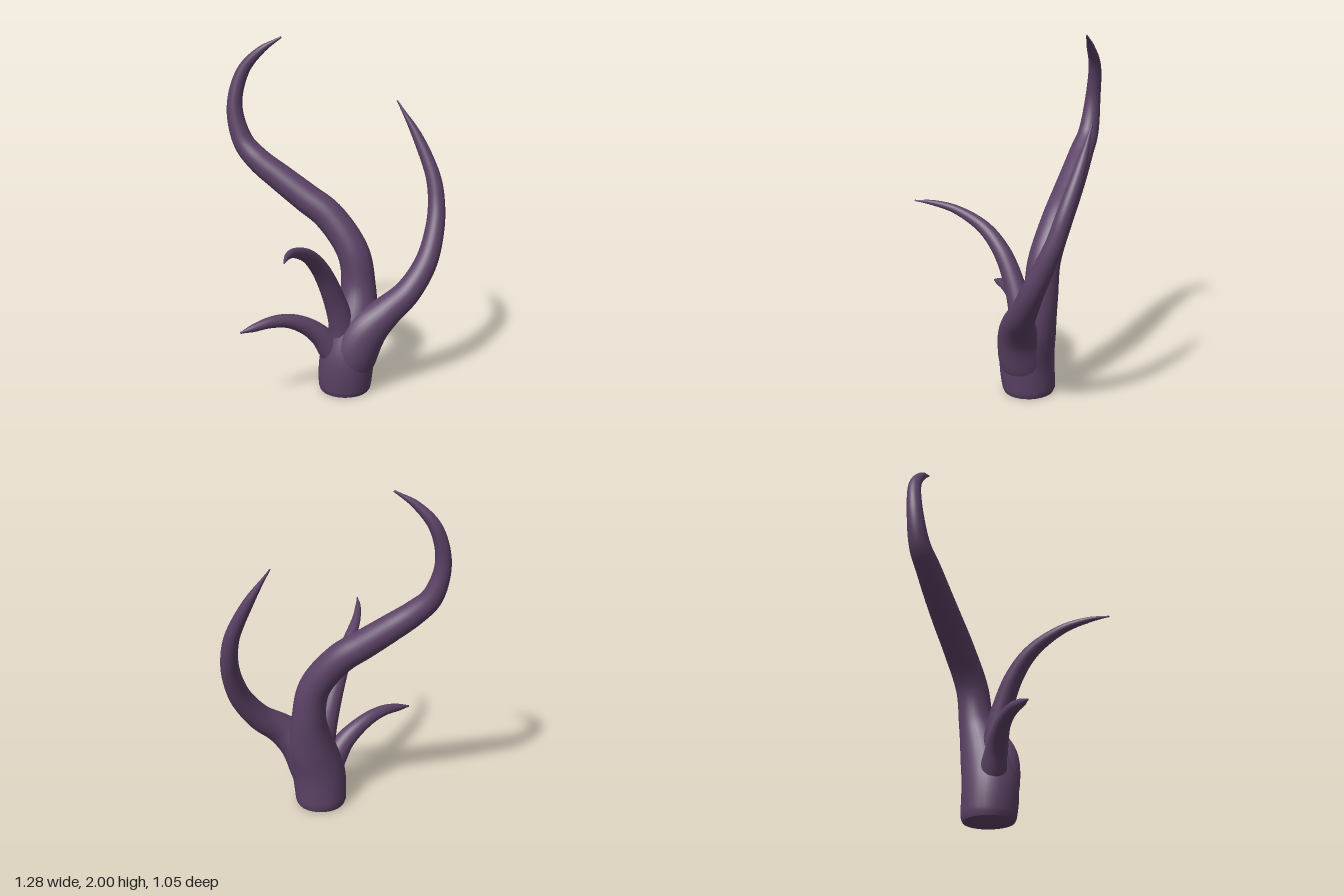
import * as THREE from 'three';

const material = new THREE.MeshStandardMaterial({ color: 0x5c4266, roughness: 0.7 });

// Smooth tapered tube; each station is [x, y, z, radius]
function taperedTube(name, stations, rings = 72, sides = 28) {
  const path = new THREE.CatmullRomCurve3(stations.map(([x, y, z]) => new THREE.Vector3(x, y, z)));
  const taper = new THREE.SplineCurve(stations.map((s, i) => new THREE.Vector2(i, s[3])));
  const frames = path.computeFrenetFrames(rings, false);
  const positions = [], indices = [];
  const p = new THREE.Vector3();
  for (let i = 0; i <= rings; i++) {
    const t = path.getUtoTmapping(i / rings);
    const center = path.getPoint(t);
    const r = Math.max(taper.getPoint(t).y, 0.001);
    for (let j = 0; j < sides; j++) {
      const a = (j / sides) * Math.PI * 2;
      p.copy(center)
        .addScaledVector(frames.normals[i], Math.cos(a) * r)
        .addScaledVector(frames.binormals[i], Math.sin(a) * r);
      positions.push(p.x, Math.max(p.y, 0), p.z);
      if (i === rings) continue;
      const k = (j + 1) % sides;
      const a0 = i * sides + j, a1 = i * sides + k;
      indices.push(a0, a1, a0 + sides, a1, a1 + sides, a0 + sides);
    }
  }
  // Close the tip
  const tip = positions.length / 3;
  positions.push(...path.getPoint(1).toArray());
  for (let j = 0; j < sides; j++) {
    indices.push(rings * sides + j, rings * sides + (j + 1) % sides, tip);
  }
  const geometry = new THREE.BufferGeometry();
  geometry.setAttribute('position', new THREE.Float32BufferAttribute(positions, 3));
  geometry.setIndex(indices);
  geometry.computeVertexNormals();
  const mesh = new THREE.Mesh(geometry, material);
  mesh.name = name;
  return mesh;
}

export function createModel() {
  const group = new THREE.Group();
  group.name = 'branchingTentacles';

  // Trunk flowing into the tallest S-shaped branch
  group.add(taperedTube('trunkAndTallBranch', [
    [0.042, 0, 0.149, 0.142], [0.042, 0.025, 0.149, 0.152], [0.047, 0.2, 0.163, 0.157],
    [0.105, 0.4, 0.16, 0.135], [0.147, 0.6, 0.135, 0.101], [0.135, 0.8, 0.1, 0.092],
    [0.06, 1.0, -0.03, 0.088], [-0.025, 1.1, -0.14, 0.084], [-0.112, 1.2, -0.25, 0.078],
    [-0.197, 1.3, -0.355, 0.07], [-0.247, 1.4, -0.435, 0.06], [-0.272, 1.6, -0.482, 0.045],
    [-0.225, 1.8, -0.462, 0.036], [-0.155, 1.92, -0.385, 0.023], [-0.07, 1.997, -0.303, 0.006],
  ], 120));

  // Underside of the trunk
  const base = new THREE.Mesh(new THREE.CircleGeometry(0.142, 28), material);
  base.name = 'trunkBase';
  base.rotation.x = Math.PI / 2;
  base.position.set(0.042, 0.001, 0.149);
  group.add(base);

  // Second tall branch, curling up on the left
  group.add(taperedTube('leftBranch', [
    [0.045, 0.03, 0.15, 0.1], [0.055, 0.2, 0.185, 0.143], [0.11, 0.37, 0.245, 0.127],
    [0.205, 0.485, 0.312, 0.092], [0.33, 0.59, 0.354, 0.076], [0.453, 0.75, 0.368, 0.065],
    [0.542, 0.93, 0.337, 0.055], [0.582, 1.06, 0.3, 0.049], [0.594, 1.2, 0.255, 0.043],
    [0.565, 1.42, 0.145, 0.03], [0.5, 1.625, 0.033, 0.004],
  ], 90));

  // Upper thin branch on the right
  group.add(taperedTube('rightUpperBranch', [
    [0.03, 0.25, 0.165, 0.09], [0.0, 0.42, 0.168, 0.074], [-0.065, 0.6, 0.175, 0.061],
    [-0.165, 0.78, 0.2, 0.051], [-0.285, 0.905, 0.25, 0.04], [-0.45, 0.99, 0.345, 0.026],
    [-0.56, 1.02, 0.44, 0.016], [-0.638, 1.028, 0.523, 0.004],
  ]));

  // Lower short branch on the right
  group.add(taperedTube('rightLowerBranch', [
    [0.02, 0.14, 0.15, 0.08], [-0.045, 0.26, 0.13, 0.075], [-0.115, 0.36, 0.11, 0.06],
    [-0.2, 0.43, 0.085, 0.049], [-0.3, 0.475, 0.065, 0.04], [-0.41, 0.488, 0.05, 0.032],
    [-0.51, 0.475, 0.035, 0.022], [-0.587, 0.462, 0.022, 0.006],
  ]));

  return group;
}
